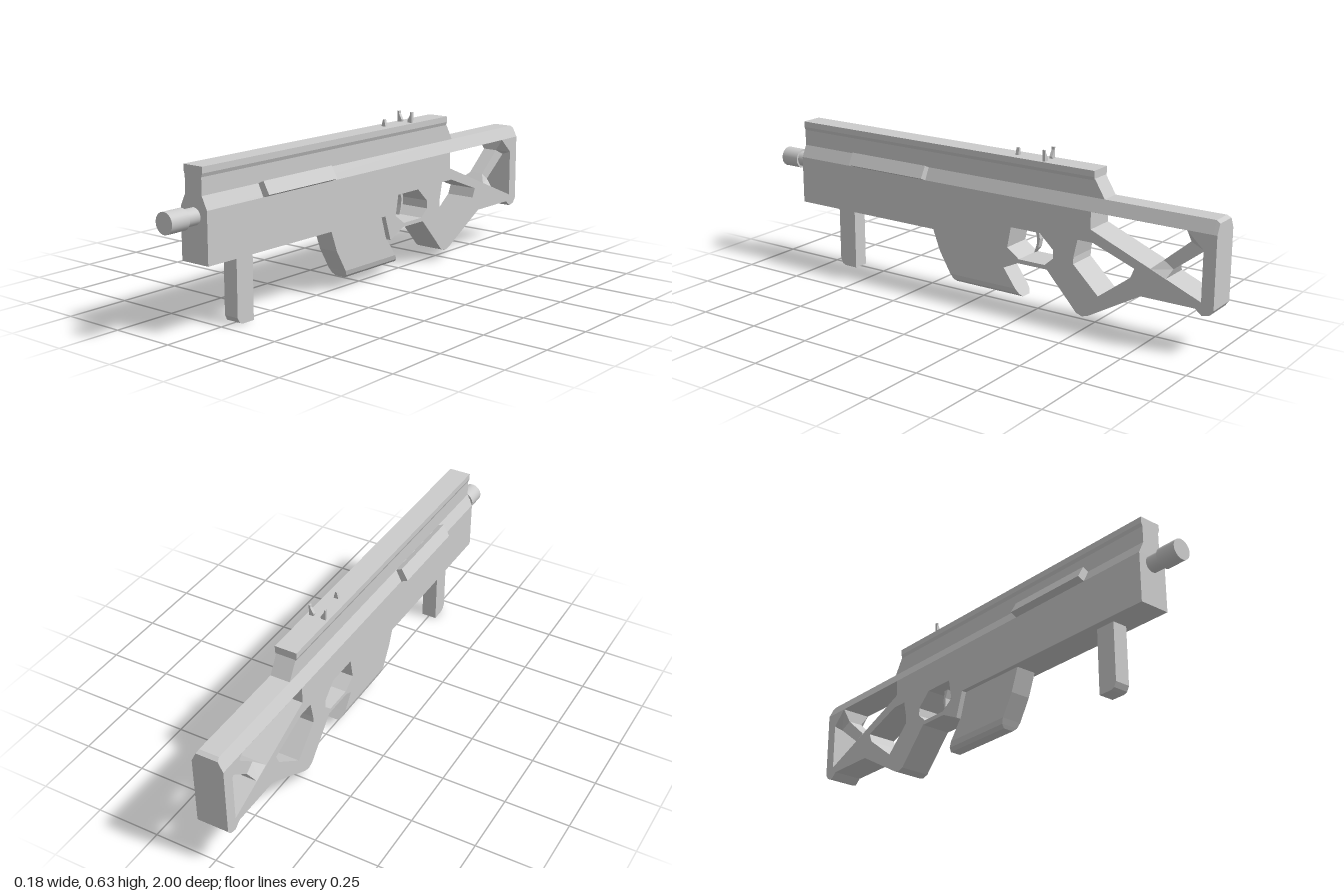
import * as THREE from 'three';

const material = new THREE.MeshStandardMaterial({ color: 0xcccccc, flatShading: true });
const smooth = new THREE.MeshStandardMaterial({ color: 0xcccccc });
const vecs = (pts) => pts.map(([a, b]) => new THREE.Vector2(a, b));

// Side outline in (z, y), extruded across the width and centred on x = 0
function sideSlab(outline, halfWidth, holes = []) {
  const shape = new THREE.Shape(vecs(outline));
  holes.forEach((h) => shape.holes.push(new THREE.Path(vecs(h))));
  return new THREE.ExtrudeGeometry(shape, { depth: halfWidth * 2, bevelEnabled: false })
    .translate(0, 0, -halfWidth)
    .rotateY(-Math.PI / 2);
}

// Front outline in (x, y), extruded from z0 to z1
function frontSlab(outline, z0, z1) {
  return new THREE.ExtrudeGeometry(new THREE.Shape(vecs(outline)), { depth: z1 - z0, bevelEnabled: false })
    .translate(0, 0, z0);
}

// Right half of a front outline, completed by its mirror image
const mirrored = (half) => [...half, ...half.map(([x, y]) => [-x, y]).reverse()];

// Closed solid through equal-length rings of [x, y, z] points
function loft(rings) {
  const n = rings[0].length;
  const last = rings.length - 1;
  const faces = [];
  for (let r = 0; r < last; r++) {
    for (let i = 0; i < n; i++) {
      const j = (i + 1) % n;
      const [a, b, c, d] = [rings[r][i], rings[r][j], rings[r + 1][j], rings[r + 1][i]];
      faces.push([a, b, c], [a, c, d]);
    }
  }
  for (let i = 1; i < n - 1; i++) {
    faces.push([rings[0][0], rings[0][i + 1], rings[0][i]]);
    faces.push([rings[last][0], rings[last][i], rings[last][i + 1]]);
  }
  // A negative signed volume means the rings run the other way round
  const v = (p) => new THREE.Vector3(...p);
  const volume = faces.reduce((s, [a, b, c]) => s + v(a).dot(v(b).cross(v(c))), 0);
  if (volume < 0) faces.forEach((f) => f.reverse());
  const geometry = new THREE.BufferGeometry();
  geometry.setAttribute('position', new THREE.Float32BufferAttribute(faces.flat(2), 3));
  geometry.computeVertexNormals();
  return geometry;
}

export function createModel() {
  const model = new THREE.Group();
  const add = (name, geometry, mat = material) => {
    const mesh = new THREE.Mesh(geometry, mat);
    mesh.name = name;
    model.add(mesh);
    return mesh;
  };

  // Lower body with grip and skeleton stock, all cut from one slab
  const outline = [
    [0.865, 0.25], [0.865, 0.44], [-1, 0.44], [-1, 0.17], [-0.985, 0.15], [-0.957, 0.143],
    [-0.93, 0.165], [-0.717, 0.165], [-0.508, 0.046], [-0.48, 0.037], [-0.455, 0.046],
    [-0.326, 0.187], [-0.198, 0.187], [-0.118, 0.15], [-0.085, 0.25],
  ];
  const triggerHole = [
    [-0.166, 0.322], [-0.294, 0.322], [-0.353, 0.267], [-0.353, 0.235],
    [-0.316, 0.203], [-0.203, 0.203], [-0.15, 0.24],
  ];
  const gripHole = [
    [-0.455, 0.326], [-0.519, 0.326], [-0.69, 0.262], [-0.674, 0.225],
    [-0.545, 0.128], [-0.439, 0.23], [-0.439, 0.255],
  ];
  const stockHole = [[-0.508, 0.4395], [-0.888, 0.4395], [-0.952, 0.38], [-0.952, 0.192], [-0.508, 0.374]];
  add('bodyAndStock', sideSlab(outline, 0.062, [triggerHole, gripHole, stockHole]));

  // Upper receiver with flared top rail
  add('upperBody', frontSlab(mirrored([
    [0.062, 0.44], [0.039, 0.487], [0.039, 0.55], [0.044, 0.563], [0.044, 0.586],
  ]), -0.508, 0.865));
  add('upperBodyRearSlope', sideSlab([[-0.508, 0.487], [-0.508, 0.556], [-0.55, 0.487]], 0.039));

  // Bevelled top bar of the stock
  const barRing = (z, top, w) => [[0.062, 0.44, z], [w, top, z], [-w, top, z], [-0.062, 0.44, z]];
  add('stockTopBar', loft([barRing(-0.508, 0.487, 0.039), barRing(-0.985, 0.487, 0.039), barRing(-1, 0.478, 0.043)]));

  // Diagonal stock brace, flared where it meets the frame
  const brace = [
    [-0.888, 0.44, -0.952, 0.38, 0.062],
    [-0.89, 0.392, -0.943, 0.368, 0.03],
    [-0.788, 0.305, -0.826, 0.278, 0.03],
    [-0.75, 0.272, -0.813, 0.247, 0.062],
  ];
  add('stockBrace', loft(brace.map(([za, ya, zb, yb, w]) => [
    [w, ya, za], [-w, ya, za], [-w, yb, zb], [w, yb, zb],
  ])));

  // Swept magazine with a rounded bottom
  const magazine = [
    [0.25, 0.214, -0.085, 0.042], [0.16, 0.18, -0.113, 0.042], [0.075, 0.13, -0.174, 0.042],
    [0.055, 0.119, -0.189, 0.036], [0.043, 0.112, -0.198, 0.022],
  ];
  add('magazine', loft(magazine.map(([y, front, back, w]) => [
    [w, y, front], [-w, y, front], [-w, y, back], [w, y, back],
  ])));

  // Curved trigger
  add('trigger', sideSlab([
    [-0.235, 0.325], [-0.255, 0.325], [-0.263, 0.28], [-0.256, 0.245], [-0.238, 0.222], [-0.25, 0.26], [-0.25, 0.29],
  ], 0.012));

  // Foregrip with a softened bottom edge
  add('foregrip', sideSlab([
    [0.7, 0.25], [0.7, 0.025], [0.69, 0.006], [0.675, 0], [0.62, 0], [0.62, 0.25],
  ], 0.031));

  // Barrel and muzzle
  const barrel = (name, radius, z0, z1) => add(name,
    new THREE.CylinderGeometry(radius, radius, z1 - z0, 32).rotateX(Math.PI / 2).translate(0, 0.413, (z0 + z1) / 2), smooth);
  barrel('barrel', 0.031, 0.85, 0.925);
  barrel('muzzle', 0.039, 0.92, 1);

  // Tilted side rails and rear sight posts, one per side
  for (const [side, s] of [['left', 1], ['right', -1]]) {
    add(`${side}SideRail`, frontSlab([
      [s * 0.062, 0.44], [s * 0.089, 0.452], [s * 0.063, 0.498], [s * 0.038, 0.486],
    ], 0.232, 0.594));
    add(`${side}RearSight`, frontSlab([
      [s * 0.034, 0.585], [s * 0.034, 0.628], [s * 0.028, 0.628], [s * 0.028, 0.618], [s * 0.014, 0.594], [s * 0.016, 0.585],
    ], -0.295, -0.283));
  }
  add('frontSight', frontSlab(mirrored([[0.01, 0.585], [0.003, 0.613]]), -0.162, -0.15));

  return model;
}
